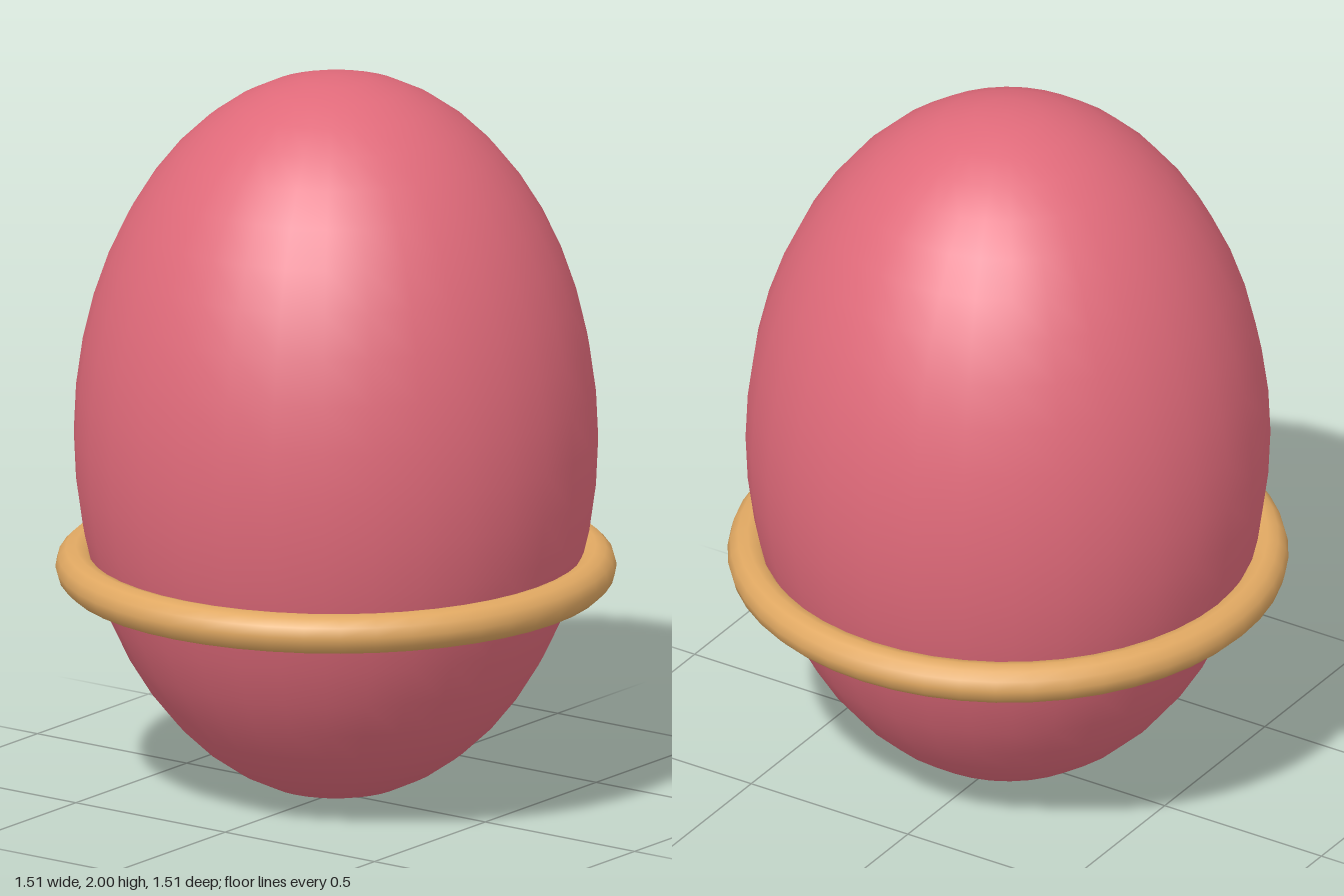
import * as THREE from 'three';

export function createModel() {
  const model = new THREE.Group();
  model.name = 'bandedEgg';

  const rose = new THREE.MeshStandardMaterial({ color: 0xe06a7a });
  rose.name = 'rose';
  const gold = new THREE.MeshStandardMaterial({ color: 0xe0a862 });
  gold.name = 'gold';

  // Egg body: a sphere stretched upright
  const eggGeometry = new THREE.SphereGeometry(1, 32, 24);
  eggGeometry.scale(0.706, 1, 0.706);
  const egg = new THREE.Mesh(eggGeometry, rose);
  egg.name = 'eggBody';
  egg.position.y = 1;

  // Round band circling the lower half
  const bandGeometry = new THREE.TorusGeometry(0.7, 0.055, 12, 48);
  bandGeometry.rotateX(Math.PI / 2);
  const band = new THREE.Mesh(bandGeometry, gold);
  band.name = 'band';
  band.position.y = 0.635;

  model.add(egg, band);
  return model;
}
